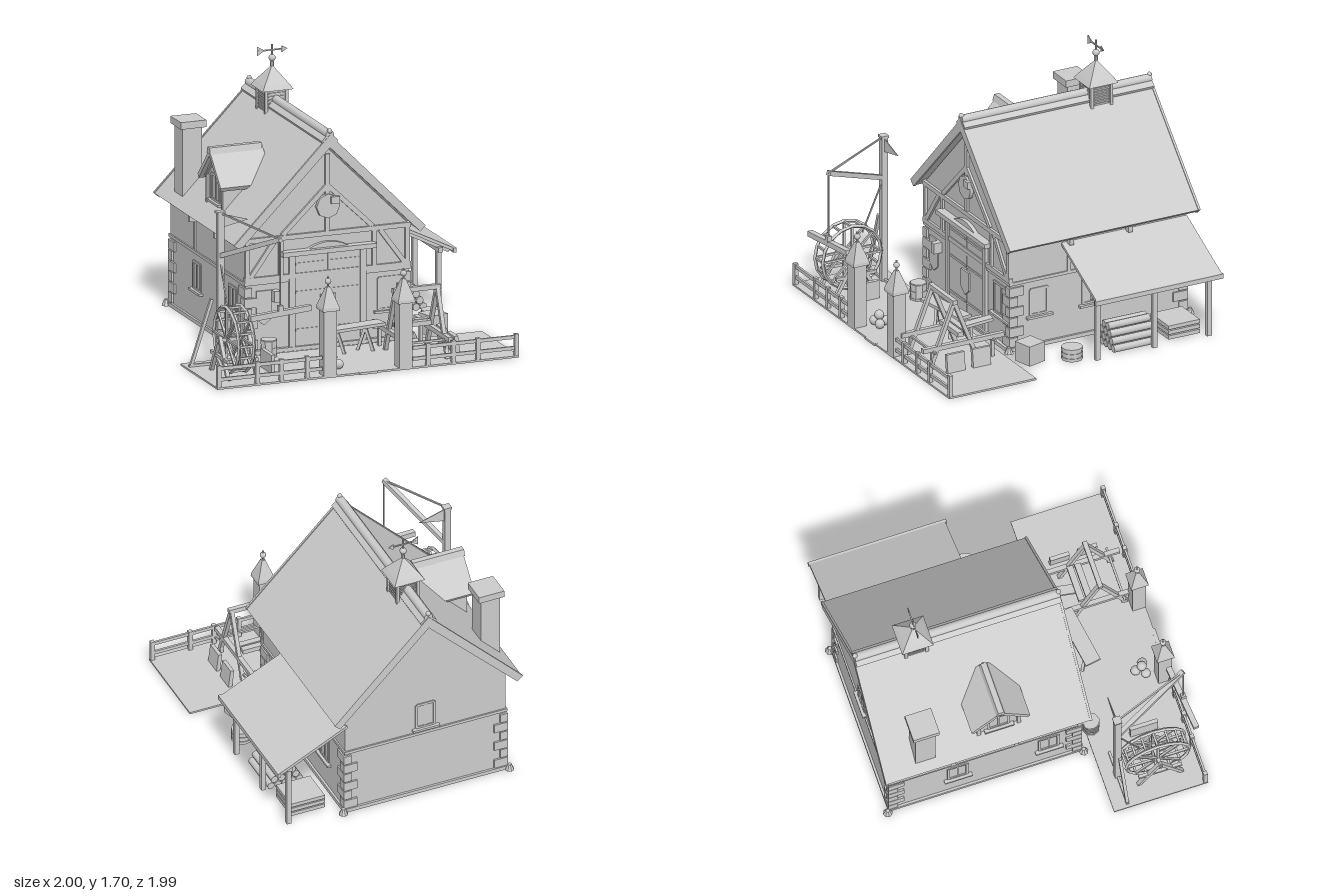
import * as THREE from 'three';

const grey = new THREE.MeshStandardMaterial({ color: 0xcccccc });
grey.name = 'plain grey';

export function createModel() {
  const root = new THREE.Group();
  root.name = 'workshopHouse';
  let part = root;
  const group = (name) => { part = new THREE.Group(); part.name = name; root.add(part); return part; };
  const add = (name, geo, x = 0, y = 0, z = 0) => {
    const m = new THREE.Mesh(geo, grey);
    m.name = name;
    m.position.set(x, y, z);
    part.add(m);
    return m;
  };
  // Box given by its ranges on each axis
  const box = (name, x0, x1, y0, y1, z0, z1) =>
    add(name, new THREE.BoxGeometry(x1 - x0, y1 - y0, z1 - z0), (x0 + x1) / 2, (y0 + y1) / 2, (z0 + z1) / 2);
  // Square timber between two points
  const beam = (name, a, b, w, h = w) => {
    const p = new THREE.Vector3(...a), q = new THREE.Vector3(...b);
    const m = add(name, new THREE.BoxGeometry(w, h, p.distanceTo(q)));
    m.position.copy(p).add(q).multiplyScalar(0.5);
    m.lookAt(q);
    return m;
  };
  const facet = (geo) => { const g = geo.toNonIndexed(); g.computeVertexNormals(); return g; };
  const cyl = (name, r0, r1, y0, y1, x, z, sides = 12) =>
    add(name, facet(new THREE.CylinderGeometry(r1, r0, y1 - y0, sides)), x, (y0 + y1) / 2, z);
  // Round pole lying along z
  const pole = (name, r, x, y, z0, z1, sides = 8) =>
    add(name, new THREE.CylinderGeometry(r, r, z1 - z0, sides).rotateX(Math.PI / 2), x, y, (z0 + z1) / 2);
  // Square pyramid with half width r
  const pyramid = (name, r, y0, y1, x, z, top = 0) => {
    const g = new THREE.CylinderGeometry(top * Math.SQRT2, r * Math.SQRT2, y1 - y0, 4);
    return add(name, facet(g.rotateY(Math.PI / 4)), x, (y0 + y1) / 2, z);
  };
  const ball = (name, r, x, y, z) => add(name, new THREE.SphereGeometry(r, 12, 8), x, y, z);
  const extrude = (name, pts, depth) => {
    const s = new THREE.Shape(pts.map((p) => new THREE.Vector2(...p)));
    return add(name, new THREE.ExtrudeGeometry(s, { depth, bevelEnabled: false }));
  };
  const sides = [-1, 1];

  // Main walls with gables and plinth
  group('house');
  extrude('walls', [[-0.54, 0], [0.54, 0], [0.54, 0.73], [0, 1.27], [-0.54, 0.73]], 1.23).position.z = -0.94;
  box('plinth', -0.555, 0.555, 0, 0.025, -0.955, 0.315);
  box('bandBeam', -0.55, 0.55, 0.44, 0.46, -0.95, 0.3);
  for (const s of sides) for (const z of [-0.94, 0.29]) {
    const d = Math.sign(z);
    cyl('cornerStone', 0.03, 0.012, 0, 0.04, s * 0.56, z + d * 0.02, 8);
    for (let i = 0; i < 6; i++) {
      const lx = i % 2 ? 0.05 : 0.09, lz = i % 2 ? 0.09 : 0.05, y = 0.03 + i * 0.067;
      const xs = [s * 0.552, s * (0.552 - lx)].sort((a, b) => a - b);
      const zs = [z + d * 0.012, z - d * lz].sort((a, b) => a - b);
      box('quoin', xs[0], xs[1], y, y + 0.06, zs[0], zs[1]);
    }
  }

  // Timber framing on the front gable
  group('timberFrame');
  const zf = 0.29;
  beam('tieBeam', [-0.55, 0.725, zf], [0.55, 0.725, zf], 0.035, 0.03);
  beam('sillBeam', [-0.55, 0.475, zf], [0.55, 0.475, zf], 0.03);
  beam('kingPost', [0, 0.73, zf], [0, 1.23, zf], 0.03);
  for (const s of sides) {
    beam('gableBrace', [s * 0.3, 0.74, zf], [0, 1.03, zf], 0.03);
    for (const x of [0.53, 0.31]) beam('wallPost', [s * x, 0.46, zf], [s * x, 0.73, zf], 0.03);
    beam('cornerBrace', [s * 0.35, 0.71, zf], [s * 0.51, 0.49, zf], 0.03);
    for (const z of [-0.53, -0.12]) {
      box('sidePost', s * 0.54 - 0.01, s * 0.54 + 0.01, 0.45, 0.72, z - 0.012, z + 0.012);
      box('eaveBracket', s * 0.565 - 0.02, s * 0.565 + 0.02, 0.645, 0.7, z - 0.014, z + 0.014);
    }
  }
  pole('gableRoundel', 0.078, 0, 0.9, 0.285, 0.315);
  box('gableLamp', 0.015, 0.07, 0.915, 0.96, 0.3, 0.33);

  // Double door with arched lintel
  group('door');
  for (const s of sides) {
    box('doorLeaf', s * 0.11 - 0.107, s * 0.11 + 0.107, 0.025, 0.61, 0.285, 0.298);
    for (const y of [0.12, 0.36, 0.54]) box('doorStrap', s * 0.11 - 0.1, s * 0.11 + 0.1, y, y + 0.015, 0.295, 0.303);
    box('doorPost', s * 0.235 - 0.02, s * 0.235 + 0.02, 0, 0.62, 0.28, 0.31);
  }
  box('lintel', -0.31, 0.31, 0.61, 0.64, 0.28, 0.345);
  const arch = new THREE.Shape().moveTo(-0.13, 0.64).quadraticCurveTo(0, 0.71, 0.13, 0.64);
  add('doorArch', new THREE.ExtrudeGeometry(arch, { depth: 0.03, bevelEnabled: false }), 0, 0, 0.285);
  extrude('doorShield', [[-0.05, 0.34], [-0.05, 0.22], [0, 0.18], [0.05, 0.22], [0.05, 0.34]], 0.012).position.z = 0.3;
  extrude('wallShield', [[-0.47, 0.4], [-0.47, 0.22], [-0.42, 0.18], [-0.37, 0.22], [-0.37, 0.4]], 0.015).position.z = 0.285;
  box('wallLantern', -0.37, -0.33, 0.33, 0.4, 0.29, 0.345);

  // Windows, each built flat facing +z and then turned to its wall
  const windowAt = (x, y, z, turn, w = 0.12, h = 0.17) => {
    const g = group('window');
    for (const s of sides) {
      box('frameSide', s * w / 2 - 0.008, s * w / 2 + 0.008, -h / 2, h / 2, -0.01, 0.007);
      box('frameRail', -w / 2, w / 2, s * h / 2 - 0.008, s * h / 2 + 0.008, -0.01, 0.007);
    }
    box('mullion', -0.006, 0.006, -h / 2, h / 2, -0.01, 0.005);
    box('sill', -w / 2 - 0.03, w / 2 + 0.03, -h / 2 - 0.02, -h / 2 - 0.005, -0.01, 0.025);
    g.position.set(x, y, z);
    g.rotation.y = turn;
  };
  windowAt(0.43, 0.3, 0.29, 0, 0.18, 0.2);
  for (const z of [0.09, -0.28, -0.64]) windowAt(0.54, 0.3, z, Math.PI / 2);
  for (const z of [0.09, -0.5]) windowAt(-0.54, 0.3, z, -Math.PI / 2);
  windowAt(0, 0.58, -0.94, Math.PI);

  // Main roof
  group('roof');
  extrude('roofSlabs', [[0, 1.355], [-0.63, 0.715], [-0.597, 0.69], [0, 1.285], [0.597, 0.69], [0.63, 0.715]], 1.315).position.z = -0.983;
  for (const z of [-0.995, 0.328])
    extrude('bargeBoard', [[0, 1.362], [-0.635, 0.718], [-0.597, 0.685], [0, 1.28], [0.597, 0.685], [0.635, 0.718]], 0.015).position.z = z;
  extrude('ridgeCap', [[0, 1.375], [-0.055, 1.325], [-0.045, 1.305], [0.045, 1.305], [0.055, 1.325]], 1.33).position.z = -0.99;
  pole('ridgePole', 0.028, 0, 1.36, -0.99, 0.34, 12);
  for (const z of [-0.985, 0.335]) ball('ridgeKnob', 0.016, 0, 1.385, z);

  // Chimney
  group('chimney');
  box('stack', -0.575, -0.445, 0.72, 1.22, -0.785, -0.655);
  box('cap', -0.595, -0.425, 1.205, 1.25, -0.805, -0.635);

  // Dormer on the left slope; profiles run along x
  group('dormer');
  const dz = -0.23;
  const along = (name, pts, x0, x1) => {
    const m = extrude(name, pts, x1 - x0);
    m.rotation.y = Math.PI / 2;
    m.position.set(x0, 0, dz);
  };
  along('dormerWalls', [[-0.14, 0.78], [0.14, 0.78], [0.14, 0.99], [0, 1.14], [-0.14, 0.99]], -0.525, -0.23);
  along('dormerRoof', [[0, 1.18], [-0.19, 0.98], [-0.175, 0.955], [0, 1.14], [0.175, 0.955], [0.19, 0.98]], -0.57, -0.22);
  along('dormerRidge', [[-0.03, 1.155], [0.03, 1.155], [0.018, 1.195], [-0.018, 1.195]], -0.575, -0.23);
  for (const s of sides) {
    beam('dormerTrim', [-0.53, 0.98, dz + s * 0.15], [-0.53, 1.135, dz], 0.02);
    beam('dormerPost', [-0.525, 0.79, dz + s * 0.13], [-0.525, 0.99, dz + s * 0.13], 0.025);
  }
  windowAt(-0.525, 0.93, dz, -Math.PI / 2, 0.13, 0.16);

  // Cupola with louvres and weather vane
  group('cupola');
  const cz = -0.61;
  box('cupolaBody', -0.065, 0.065, 1.26, 1.43, cz - 0.065, cz + 0.065);
  for (const a of sides) for (const b of sides) box('cupolaPost', a * 0.068 - 0.01, a * 0.068 + 0.01, 1.265, 1.43, cz + b * 0.068 - 0.01, cz + b * 0.068 + 0.01);
  for (let i = 0; i < 6; i++) {
    const y = 1.29 + i * 0.021;
    box('louvre', -0.073, 0.073, y, y + 0.01, cz - 0.05, cz + 0.05);
    box('louvre', -0.05, 0.05, y, y + 0.01, cz - 0.073, cz + 0.073);
  }
  pyramid('cupolaEave', 0.102, 1.425, 1.455, 0, cz, 0.083);
  pyramid('cupolaRoof', 0.083, 1.455, 1.565, 0, cz);
  cyl('vaneRod', 0.006, 0.006, 1.55, 1.695, 0, cz, 8);
  cyl('vaneCollar', 0.014, 0.014, 1.56, 1.585, 0, cz, 8);
  ball('vaneBall', 0.022, 0, 1.61, cz);
  beam('vaneArm', [-0.09, 1.66, cz], [0.08, 1.66, cz], 0.008);
  extrude('vaneTail', [[-0.05, 1.66], [-0.1, 1.69], [-0.1, 1.63]], 0.006).position.z = cz - 0.003;
  extrude('vaneHead', [[0.1, 1.66], [0.065, 1.68], [0.065, 1.64]], 0.006).position.z = cz - 0.003;

  // Lean-to on the right, sheltering a log pile and stacked boards
  group('leanTo');
  extrude('leanToRoof', [[0.53, 0.64], [0.99, 0.41], [0.995, 0.43], [0.53, 0.66]], 0.88).position.z = -0.95;
  box('leanToEave', 0.98, 1, 0.405, 0.435, -0.955, -0.06);
  beam('leanToPlate', [0.905, 0.425, -0.93], [0.905, 0.425, -0.08], 0.03);
  for (const z of [-0.12, -0.52, -0.9]) {
    box('leanToPost', 0.89, 0.92, 0, 0.42, z - 0.016, z + 0.016);
    beam('leanToRafter', [0.54, 0.625, z], [0.97, 0.41, z], 0.025);
  }
  for (let row = 0; row < 4; row++) for (let i = 0; i < 5 - row; i++)
    pole('log', 0.024, 0.765 + (i - (4 - row) / 2) * 0.048, 0.025 + row * 0.042, -0.545, -0.255);
  for (let i = 0; i < 3; i++) box('boardStack', 0.64, 0.87, 0.01 + i * 0.033, 0.035 + i * 0.033, -0.86, -0.64);
  box('stackCore', 0.66, 0.85, 0, 0.09, -0.84, -0.66);

  // Loose goods
  group('goods');
  const tub = (name, x, z, r, h, n) => {
    cyl(name, r * 0.93, r * 0.93, 0, h, x, z, n);
    for (const t of [0.12, 0.5, 0.88]) cyl('hoop', r, r, h * t - 0.01, h * t + 0.01, x, z, n);
  };
  tub('tub', 0.81, 0.005, 0.067, 0.08, 12);
  tub('barrel', -0.43, 0.4, 0.056, 0.12, 8);
  box('crate', 0.655, 0.785, 0, 0.13, 0.185, 0.315).rotation.y = 0.26;
  for (const [x, y, z] of [[-0.21, 0.04, 0.83], [-0.14, 0.04, 0.83], [-0.175, 0.04, 0.775], [-0.175, 0.085, 0.815]]) ball('stoneBall', 0.031, x, y, z);
  for (const z of [0.56, 0.74]) box('leaningSlab', 0.645, 0.67, 0.01, 0.13, z - 0.062, z + 0.062).rotation.z = 0.12;
  box('leaningSlab', -0.57, -0.545, 0.01, 0.13, 0.61, 0.79);

  // Sawhorse with board
  beam('sawBoard', [-0.09, 0.17, 0.53], [0.29, 0.17, 0.47], 0.1, 0.02);
  for (const x of [-0.02, 0.17]) for (const s of sides) beam('sawLeg', [x, 0.16, 0.5], [x + s * 0.04, 0.01, 0.5 + s * 0.03], 0.018);

  // Yard, fence and gate piers
  group('yard');
  box('yardSlab', -1, 1, 0, 0.012, 0.36, 0.97);
  for (const s of sides) {
    for (const y of [0.06, 0.13]) beam('fenceRail', [s * 0.3, y, 0.955], [s * 0.99, y, 0.955], 0.014, 0.022);
    for (const x of [0.4, 0.57, 0.73, 0.985]) box('fencePost', s * x - 0.013, s * x + 0.013, 0, 0.15, 0.942, 0.968);
    box('pier', s * 0.25 - 0.043, s * 0.25 + 0.043, 0, 0.44, 0.885, 0.971);
    pyramid('pierEave', 0.057, 0.425, 0.445, s * 0.25, 0.928, 0.055);
    pyramid('pierRoof', 0.055, 0.445, 0.57, s * 0.25, 0.928, 0.012);
    cyl('pierPin', 0.007, 0.007, 0.56, 0.635, s * 0.25, 0.928, 8);
    ball('pierBall', 0.02, s * 0.25, 0.605, 0.928);
  }
  box('threshold', -0.06, 0.06, 0, 0.014, 0.955, 0.98);

  // Workbench frame with hanging trough
  group('workFrame');
  for (const x of [0.29, 0.565]) {
    beam('bedRail', [x, 0.145, 0.35], [x, 0.145, 0.92], 0.03);
    for (const s of sides) beam('frameLeg', [x, 0.43, 0.7], [x, 0.01, 0.7 + s * 0.17], 0.025);
    for (const z of [0.43, 0.85]) beam('bedLeg', [x, 0.01, z], [x, 0.15, z], 0.02);
  }
  beam('frameTop', [0.27, 0.43, 0.7], [0.585, 0.43, 0.7], 0.03);
  for (const z of [0.43, 0.85]) beam('bedTie', [0.25, 0.13, z], [0.61, 0.13, z], 0.014);
  for (const z of [0.59, 0.64]) beam('trough', [0.31, 0.19, z], [0.545, 0.19, z], 0.04, 0.03);
  beam('ramp', [0.43, 0.2, 0.36], [0.4, 0.17, 0.6], 0.06, 0.02);

  // Tread wheel on A-frames
  group('treadWheel');
  const wy = 0.235, wz = 0.7, n = 16;
  for (const x of [-0.83, -0.73]) {
    add('rim', facet(new THREE.TorusGeometry(0.205, 0.012, 4, n)), x, wy, wz).rotation.y = Math.PI / 2;
    for (let i = 0; i < 4; i++) {
      const c = Math.cos(i * Math.PI / 4) * 0.2, s = Math.sin(i * Math.PI / 4) * 0.2;
      beam('spoke', [x, wy - s, wz - c], [x, wy + s, wz + c], 0.014);
    }
  }
  for (let i = 0; i < n; i++) {
    const a = i * 2 * Math.PI / n, y = wy + 0.2 * Math.sin(a), z = wz + 0.2 * Math.cos(a);
    beam('tread', [-0.83, y, z], [-0.73, y, z], 0.014);
  }
  beam('axle', [-0.89, wy, wz], [-0.67, wy, wz], 0.024);
  for (const x of [-0.875, -0.685]) {
    for (const s of sides) beam('standLeg', [x, wy + 0.02, wz], [x, 0.01, wz + s * 0.14], 0.024);
    beam('standFoot', [x, 0.13, wz - 0.14], [x, 0.13, wz + 0.14], 0.02);
  }

  // Crane with flag, rope and hanging timber
  group('crane');
  const tip = [-0.575, 0.91, 0.95];
  box('mast', -0.795, -0.755, 0, 0.985, 0.435, 0.475);
  box('mastCap', -0.8, -0.75, 0.97, 0.985, 0.43, 0.48);
  beam('jib', [-0.775, 0.7, 0.455], tip, 0.03);
  beam('tieRope', [-0.775, 0.975, 0.455], tip, 0.01);
  beam('hoistRope', tip, [-0.575, 0.45, 0.95], 0.008);
  beam('wheelRope', [-0.775, 0.66, 0.47], [-0.78, 0.36, 0.6], 0.008);
  beam('mastStay', [-0.83, 0.43, 0.455], [-0.97, 0.01, 0.455], 0.02);
  beam('mastFoot', [-0.98, 0.02, 0.455], [-0.62, 0.02, 0.455], 0.016);
  box('hook', -0.59, -0.56, 0.45, 0.49, 0.935, 0.965);
  beam('hangingTimber', [-0.785, 0.43, 0.965], [-0.365, 0.45, 0.925], 0.035);
  extrude('flag', [[-0.755, 0.965], [-0.755, 0.88], [-0.59, 0.915]], 0.006).position.z = 0.452;

  return root;
}
